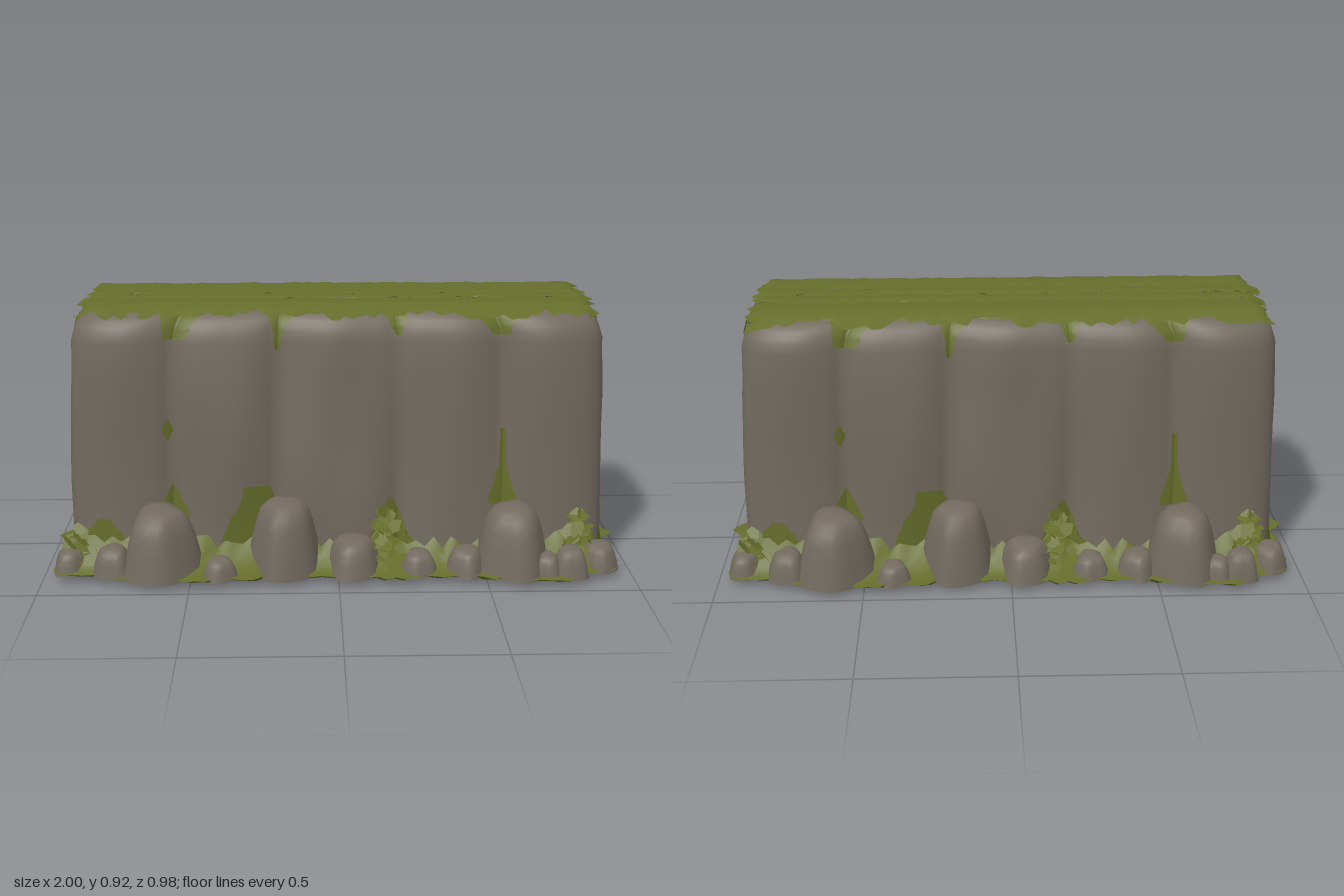
import * as THREE from 'three';
import { mergeVertices, mergeGeometries } from 'three/addons/utils/BufferGeometryUtils.js';

const stone = new THREE.MeshStandardMaterial({ color: 0x71695e });
stone.name = 'stone';
const moss = new THREE.MeshStandardMaterial({ color: 0x646c2a, side: THREE.DoubleSide });
moss.name = 'moss';

const { lerp, clamp } = THREE.MathUtils;
const hash = (n) => { const s = Math.sin(n * 127.1 + 3.7) * 43758.5453; return s - Math.floor(s); };
const jag = (n) => hash(n) * 2 - 1;

// Linear lookup in a list of [key, value] pairs
function lookup(table, k) {
  for (let i = 1; i < table.length; i++) {
    const [a, va] = table[i - 1], [b, vb] = table[i];
    if (k <= b) return lerp(va, vb, Math.max(0, (k - a) / (b - a)));
  }
  return table[table.length - 1][1];
}

// Surface grid: fn(i, j) gives a point; i runs right and j up, seen from outside
function grid(nu, nv, fn) {
  const pos = [], index = [];
  for (let j = 0; j <= nv; j++) for (let i = 0; i <= nu; i++) pos.push(...fn(i, j));
  for (let j = 0; j < nv; j++) for (let i = 0; i < nu; i++) {
    const a = j * (nu + 1) + i, c = a + nu + 1;
    index.push(a, a + 1, c + 1, a, c + 1, c);
  }
  let g = new THREE.BufferGeometry();
  g.setAttribute('position', new THREE.Float32BufferAttribute(pos, 3));
  g.setIndex(index);
  g = mergeVertices(g, 1e-5);
  g.computeVertexNormals();
  return g;
}

// Sides of the block: 0 front, 1 left end, 2 back, 3 right end; t runs -1..1 along each
const LONG = 60, SHORT = 20, AROUND = 2 * (LONG + SHORT);
function station(i) {
  let k = i % AROUND, side = 0;
  for (const n of [LONG, SHORT, LONG, SHORT]) {
    if (k < n) return [side, -1 + 2 * k / n];
    k -= n; side++;
  }
}
const turn = (side, p) => (side >= 2 ? [-p[0], p[1], -p[2]] : p);

// Inset of the wall with height, and the grooves between the flutes
const taper = [[0.02, 0], [0.3, 0.003], [0.6, 0.01], [0.8, 0.02], [0.85, 0.035], [0.88, 0.058], [0.893, 0.08], [0.902, 0.115]];
const OUTER = 19 / 30, INNER = 7 / 30;
const flutes = [[-1, 0], [-OUTER, 1], [-INNER, 2], [INNER, 3], [OUTER, 4], [1, 5]];
function wall(side, t, y, off = 0) {
  const wave = (0.005 * Math.sin(9 * y + 7 * t) + 0.003 * Math.sin(23 * t - 5 * y)) * (1 - t * t);
  const inset = lookup(taper, y);
  let x, z;
  if (side % 2 === 0) {
    const lobe = Math.pow(Math.abs(Math.sin(Math.PI * lookup(flutes, t))), 0.7);
    x = 0.885 * t;
    z = 0.273 + (0.044 + 0.008 * Math.sin(6 * y + 4 * t)) * lobe + wave + off;
  } else {
    x = 0.885 + 0.034 * (1 - t ** 6) - 0.008 * Math.max(0, 1 - Math.abs(t) * 5) + wave + off;
    z = -0.273 * t;
  }
  return turn(side, [x * (1 - inset / 0.9), y, z * (1 - inset / 0.32)]);
}

// Ragged outline of the ground moss
const bulge = [0.37, 0.42, 0.46, 0.45, 0.425, 0.425, 0.455, 0.425, 0.46, 0.475, 0.37].map((z, i) => [-1 + i * 0.2, z]);
function outline(i, y) {
  const [side, t] = station(i);
  const r = jag((i % (AROUND / 2)) + 11) * 0.016;
  const spike = Math.max(0, 1 - Math.abs(t) * 5);
  const p = side % 2 ? [0.957 + 0.043 * spike + r * (1 - spike), y, -0.37 * t]
    : [0.957 * t, y, lookup(bulge, t) + r];
  return turn(side, p);
}

// Patch of moss hugging the wall; w0, wm, w1 are half widths at bottom, middle, top
function patch(side, t, y0, y1, w0, wm, w1) {
  return grid(16, 10, (i, j) => {
    const v = j / 10, w = v < 0.5 ? lerp(w0, wm, v * 2) : lerp(wm, w1, v * 2 - 1);
    const ragged = w * (1 + 0.15 * jag(j + i + t * 40));
    return wall(side, clamp(t + (i / 8 - 1) * ragged, -0.99, 0.99), lerp(y0, y1, v), 0.005);
  });
}

// Weathered boulder, flared at the foot, its top sloping up towards the wall
const dome = [[1.08, 0], [1, 0.2], [0.92, 0.45], [0.8, 0.7], [0.68, 0.88], [0.5, 0.97], [0.25, 1], [0, 1]];
function boulder(x, z, r, top, seed) {
  return grid(20, dome.length - 1, (i, j) => {
    const a = (i % 20) / 20 * Math.PI * 2, [dr, dy] = dome[j];
    const rr = r * dr * (1 + 0.07 * Math.sin(3 * a + seed) + 0.05 * Math.sin(5 * a + seed * 2));
    const dz = Math.cos(a) * rr;
    return [x + Math.sin(a) * rr, 0.02 + dy * (top - 0.02 - 0.18 * dz), z + dz + 0.1 * r * dy];
  });
}

// Tuft of small ragged leaves
function tuft(x, y, z, w, h, count, seed) {
  const leaves = [];
  for (let k = 0; k < count; k++) {
    const n = seed * 50 + k * 7, v = hash(n);
    const leaf = new THREE.CircleGeometry(0.024 + 0.016 * hash(n + 1), 5);
    leaf.scale(1, 0.7, 1);
    leaf.rotateX(-0.9 + jag(n + 2) * 0.7);
    leaf.rotateZ(jag(n + 3) * 0.9);
    leaf.rotateY(jag(n + 4) * 1.2);
    leaf.translate(x + jag(n + 5) * w * (1.1 - v), y + v * h, z + 0.045 * (1 - v) + jag(n + 6) * 0.02);
    leaves.push(leaf);
  }
  return mergeGeometries(leaves);
}

export function createModel() {
  const model = new THREE.Group();
  const add = (name, geometry, material, parent = model) => {
    const mesh = new THREE.Mesh(geometry, material);
    mesh.name = name;
    parent.add(mesh);
    return mesh;
  };

  // Fluted stone block, closed on top
  const levels = [0.02, 0.1, 0.2, 0.3, 0.4, 0.5, 0.6, 0.7, 0.8, 0.83, 0.85, 0.867, 0.88, 0.893, 0.902];
  add('stoneWall', grid(AROUND, levels.length, (i, j) =>
    (j === levels.length ? [0, 0.902, 0] : wall(...station(i), levels[j]))), stone);

  // Overlapping ragged moss strips along the top, drooping at the rim
  const strips = [[0.258, 0.07], [0.09, -0.008], [0.008, -0.09], [-0.07, -0.258]];
  strips.forEach(([front, back], s) => {
    add('topMossStrip', grid(72, 6, (i, j) => {
      const v = j / 6, edge = j === 0 || j === 6;
      const end = i === 0 || i === 72;
      const x = (i / 36 - 1) * 0.86 + (end ? jag(s * 31 + j + i) * 0.025 : 0);
      const tear = 0.02 * jag(s * 91 + i * 3 + j) + 0.014 * jag(s * 57 + Math.floor(i / 3) + j);
      const z = lerp(front, back, v) + (edge ? tear : 0);
      const droop = Math.max(0, Math.abs(z) - 0.2) * 0.4;
      const y = 0.909 + 0.008 * Math.sin(Math.PI * v) + 0.002 * jag(i + s * 70) - droop - (end ? 0.018 : 0);
      return [x, y, z];
    }), moss);
  });

  // Ground moss: skirt rising to the wall, and its flat underside
  add('mossSkirt', grid(AROUND, 4, (i, j) => {
    const [side, t] = station(i), v = j / 4;
    const climb = side % 2 ? 0.01 + 0.05 * t ** 8 : 0.06 + 0.05 * hash((i % 80) + 5) + 0.06 * t ** 8;
    const o = outline(i, 0.03), w = wall(side, t, 0.1, 0.004);
    return [lerp(o[0], w[0], v), 0.03 + climb * v * v, lerp(o[2], w[2], v)];
  }), moss);
  add('mossUnderside', grid(AROUND, 3, (i, j) => {
    const o = outline(i, j === 3 ? 0.03 : 0.02), k = [0, 0.6, 0.96, 1][j];
    return [o[0] * k, o[1], o[2] * k];
  }), moss).geometry.index.array.reverse();

  // Flakes under the base
  for (let k = 0; k < 40; k++) {
    const flake = new THREE.SphereGeometry(1, 7, 4);
    flake.scale(0.05 + 0.04 * hash(k), 0.009 + 0.003 * hash(k + 200), 0.025 + 0.02 * hash(k + 60));
    flake.rotateY(jag(k + 90) * 0.5);
    flake.translate(-0.75 + 0.165 * (k % 10) + jag(k + 120) * 0.05, 0.0125, -0.225 + 0.15 * Math.floor(k / 10) + jag(k + 150) * 0.025);
    add('baseFlake', flake, k % 10 === 2 ? stone : moss);
  }

  // Each long side repeats on the other, turned half way round
  const boulders = [
    [0.59, 0.345, 0.12, 0.25], [-0.18, 0.32, 0.12, 0.265], [-0.6, 0.345, 0.125, 0.25],
    [0.78, 0.4, 0.06, 0.12], [0.43, 0.37, 0.065, 0.11], [0.05, 0.355, 0.09, 0.145],
    [-0.4, 0.4, 0.055, 0.09], [-0.76, 0.36, 0.065, 0.12], [0.89, 0.33, 0.065, 0.11],
    [-0.91, 0.33, 0.055, 0.1], [0.27, 0.37, 0.06, 0.1], [0.7, 0.41, 0.05, 0.1],
  ];
  const tufts = [[0.16, 0.06, 0.32, 0.07, 0.17, 34], [0.82, 0.05, 0.31, 0.09, 0.16, 36], [-0.88, 0.05, 0.3, 0.06, 0.12, 18]];
  const patches = [
    // Drips in the flutes below the top
    [0, -OUTER, 0.81, 0.9, 0.04, 0.06, 0.1], [0, -INNER, 0.77, 0.9, 0.008, 0.02, 0.06],
    [0, INNER, 0.82, 0.9, 0.01, 0.03, 0.06], [0, OUTER, 0.82, 0.9, 0.03, 0.06, 0.1],
    // Spots and growth low on the long side
    [0, -OUTER - 0.02, 0.47, 0.54, 0.005, 0.022, 0.005], [0, OUTER, 0.24, 0.5, 0.06, 0.015, 0.01],
    [0, -OUTER, 0.2, 0.31, 0.06, 0.04, 0.005],
    [0, -0.31, 0.05, 0.31, 0.15, 0.1, 0.05], [0, 0.2, 0.05, 0.26, 0.12, 0.06, 0.01],
    [0, -0.9, 0.05, 0.2, 0.1, 0.09, 0.02], [0, 0.9, 0.05, 0.18, 0.1, 0.07, 0.005],
    // End face: top band, drip, spots and corner growth
    [1, 0, 0.845, 0.9, 0.5, 0.85, 0.98], [1, 0, 0.7, 0.86, 0.05, 0.15, 0.24],
    [1, 0, 0.48, 0.55, 0.04, 0.065, 0.03], [1, -0.58, 0.13, 0.21, 0.06, 0.08, 0.03],
    [1, -0.95, 0.03, 0.14, 0.3, 0.16, 0.02], [1, 0.97, 0.03, 0.11, 0.08, 0.05, 0.02],
  ];
  for (const angle of [0, Math.PI]) {
    const half = new THREE.Group();
    half.name = angle ? 'backDetails' : 'frontDetails';
    half.rotation.y = angle;
    boulders.forEach((b, k) => add('boulder', boulder(...b, k * 1.7), stone, half));
    tufts.forEach((t, k) => add('mossTuft', tuft(...t, k + 1), moss, half));
    patches.forEach((p) => add('wallMoss', patch(...p), moss, half));
    model.add(half);
  }
  return model;
}
